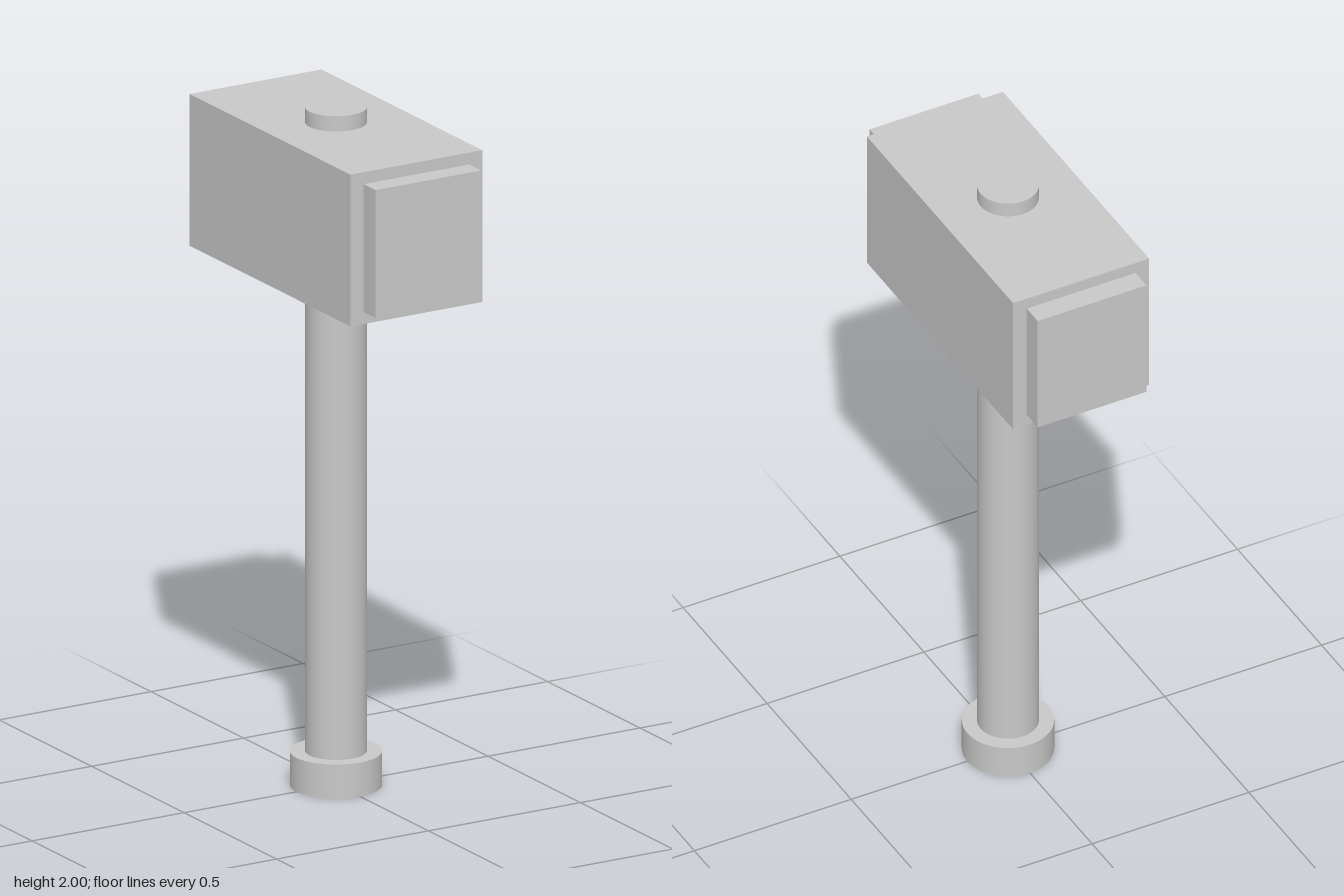
import * as THREE from 'three';

export function createModel() {
  const model = new THREE.Group();
  model.name = 'hammer';
  const gray = new THREE.MeshStandardMaterial({ color: 0xc8c8c8 });
  gray.name = 'light gray';

  const add = (name, geometry, y, z = 0) => {
    const mesh = new THREE.Mesh(geometry, gray);
    mesh.name = name;
    mesh.position.set(0, y, z);
    model.add(mesh);
  };

  // Round handle running through the head, with a pommel at its foot
  add('handle', new THREE.CylinderGeometry(0.087, 0.087, 1.95, 64), 1.025);
  add('pommel', new THREE.CylinderGeometry(0.13, 0.13, 0.1, 64), 0.05);

  // Block head with a smaller striking face at each end
  add('head', new THREE.BoxGeometry(0.434, 0.448, 0.87), 1.731);
  for (const [name, side] of [['frontStrikingFace', 1], ['backStrikingFace', -1]]) {
    add(name, new THREE.BoxGeometry(0.347, 0.378, 0.08), 1.731, side * 0.46);
  }
  return model;
}
